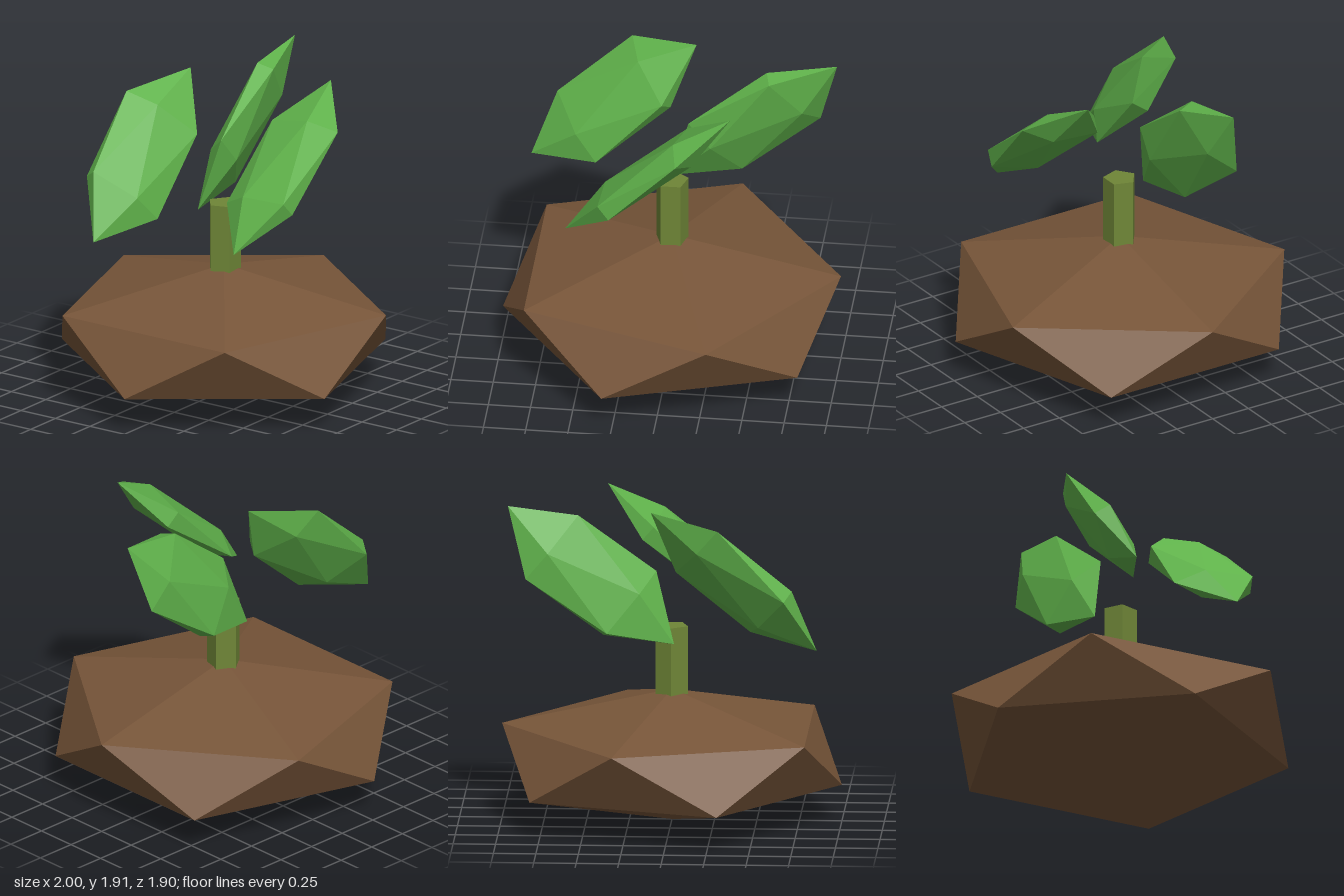
import * as THREE from 'three';

export function createModel() {
  const group = new THREE.Group();
  const soil = new THREE.MeshStandardMaterial({ color: 0x775539 });
  soil.name = 'soil brown';
  const bark = new THREE.MeshStandardMaterial({ color: 0x6f8637 });
  bark.name = 'stem olive';
  const green = new THREE.MeshStandardMaterial({ color: 0x5fb14a });
  green.name = 'leaf green';

  // Icosahedron standing on a vertex; its upper ring has a corner on +z
  const ico = () => new THREE.IcosahedronGeometry(1, 0).rotateX(-Math.atan((1 + Math.sqrt(5)) / 2));

  const add = (name, geometry, material, x, y, z) => {
    const mesh = new THREE.Mesh(geometry, material);
    mesh.name = name;
    mesh.position.set(x, y, z);
    group.add(mesh);
    return mesh;
  };

  // Flattened mound of soil
  add('soilMound', ico().rotateY(Math.PI / 2).scale(1.118, 0.392, 1.118), soil, 0, 0.392, 0);

  // Five-sided stem, sunk into the mound
  const stem = new THREE.CylinderGeometry(0.1, 0.1, 0.6, 5).rotateY(Math.PI).toNonIndexed();
  stem.computeVertexNormals();
  add('stem', stem, bark, 0, 0.867, 0);

  // Leaves: same flat shape and slant, each twisted about its own length
  const leaves = [
    ['backLeaf', -0.38, -0.32, -131],
    ['frontLeaf', -0.087, 0.485, -9.6],
    ['sideLeaf', 0.468, -0.175, 110],
  ];
  for (const [name, x, z, twist] of leaves) {
    const leaf = add(name, ico().scale(0.1, 0.638, 0.3), green, x, 1.5, z);
    leaf.rotation.set(0, THREE.MathUtils.degToRad(twist), THREE.MathUtils.degToRad(-50), 'ZYX');
  }
  return group;
}
